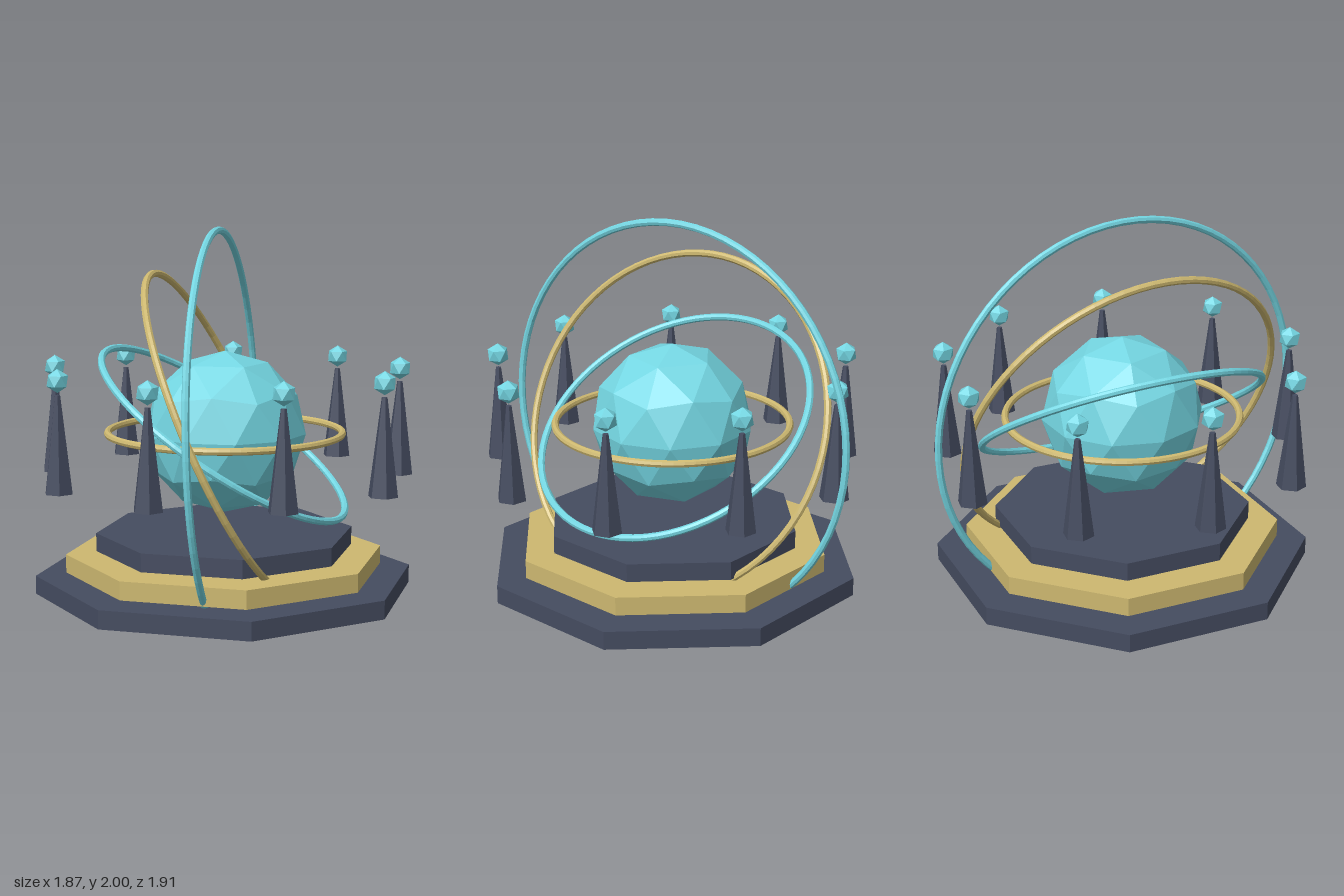
import * as THREE from 'three';

const material = (color) => new THREE.MeshStandardMaterial({ color, flatShading: true });

export function createModel() {
  const model = new THREE.Group();
  const dark = material(0x454c60);
  const gold = material(0xcdb870);
  const cyan = material(0x74d6e2);

  const add = (name, geometry, mat, x = 0, y = 0, z = 0, parent = model) => {
    const mesh = new THREE.Mesh(geometry, mat);
    mesh.name = name;
    mesh.position.set(x, y, z);
    parent.add(mesh);
    return mesh;
  };

  // Faceted ball with one corner pointing straight up
  const facetedBall = (radius, detail) =>
    new THREE.IcosahedronGeometry(radius, detail)
      .rotateZ(-Math.atan(2 / (1 + Math.sqrt(5))));

  // Three stacked octagonal steps
  [['lowerStep', 0.935, dark], ['middleStep', 0.786, gold], ['upperStep', 0.637, dark]]
    .forEach(([name, radius, mat], i) => {
      add(name, new THREE.CylinderGeometry(radius, radius, 0.09, 8), mat, 0, 0.258 + i * 0.103, 0);
    });

  // Central globe
  add('globe', facetedBall(0.4, 1), cyan, 0, 1, 0);

  // Four nested rings, each given by its radius and axis
  const zAxis = new THREE.Vector3(0, 0, 1);
  [
    ['innerRing', 0.575, gold, [0, 1, 0]],
    ['secondRing', 0.706, cyan, [0.517, 0.831, 0.203]],
    ['thirdRing', 0.848, gold, [0.872, 0.418, 0.255]],
    ['outerRing', 0.982, cyan, [0.956, 0.036, 0.29]],
  ].forEach(([name, radius, mat, axis]) => {
    const ring = add(name, new THREE.TorusGeometry(radius, 0.018, 8, 72), mat, 0, 1, 0);
    ring.quaternion.setFromUnitVectors(zAxis, new THREE.Vector3(...axis).normalize());
  });

  // Circle of nine floating spires, each topped with a small orb
  const spireGeometry = new THREE.CylinderGeometry(0.014, 0.072, 0.464, 6);
  const orbGeometry = facetedBall(0.056, 0);
  for (let i = 0; i < 9; i++) {
    const angle = (i / 9) * Math.PI * 2;
    const spire = new THREE.Group();
    spire.name = `spire${i + 1}`;
    spire.position.set(Math.cos(angle) * 0.872, 0, Math.sin(angle) * 0.872);
    add('spireBody', spireGeometry, dark, 0, 1.004, 0, spire);
    add('spireOrb', orbGeometry, cyan, 0, 1.302, 0, spire);
    model.add(spire);
  }

  return model;
}
